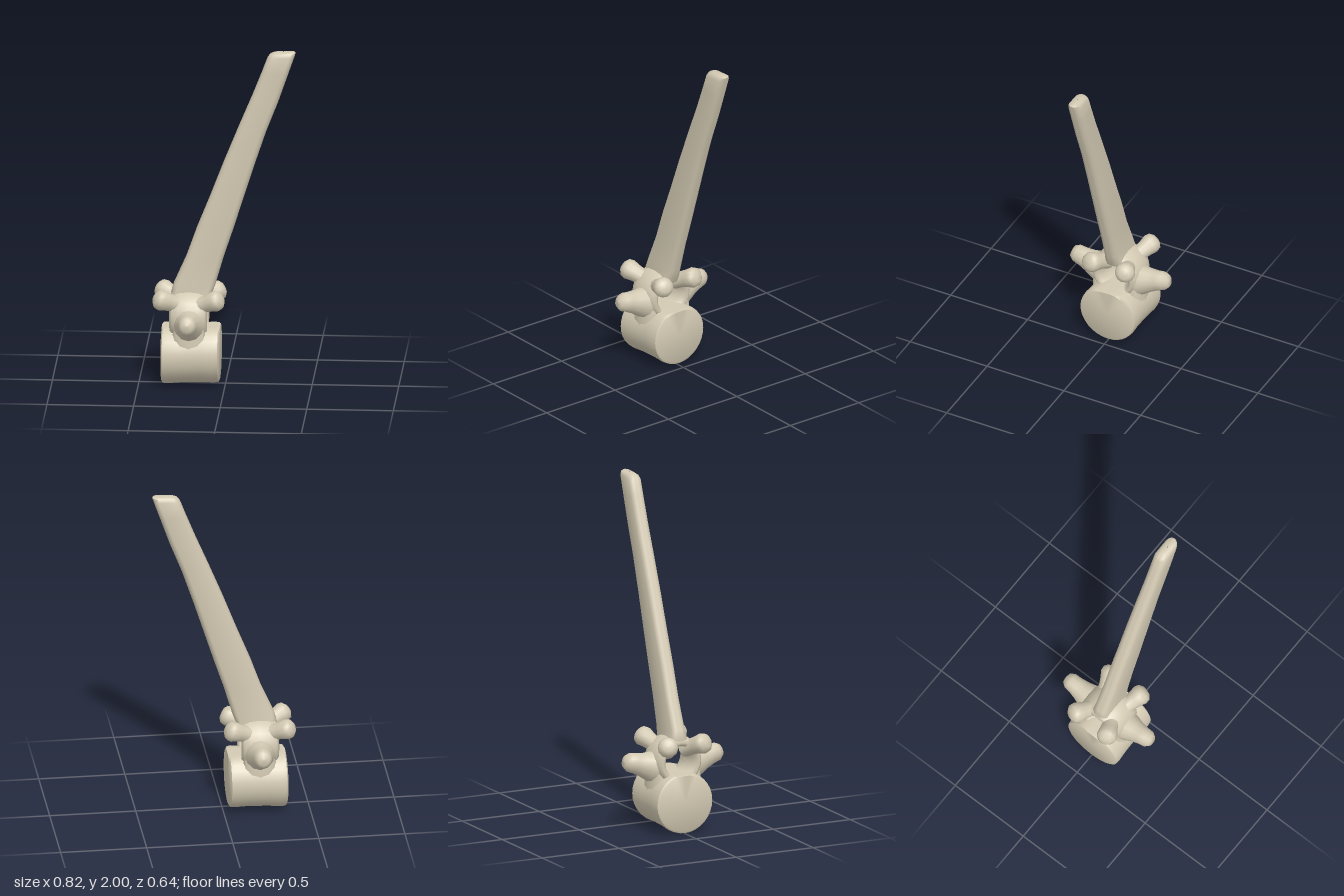
import * as THREE from 'three';
import { toCreasedNormals } from 'three/addons/utils/BufferGeometryUtils.js';

const bone = new THREE.MeshStandardMaterial({ color: 0xd3cab3 });
const V = (x, y, z) => new THREE.Vector3(x, y, z);

function add(group, name, geometry) {
  const mesh = new THREE.Mesh(geometry, bone);
  mesh.name = name;
  group.add(mesh);
  return mesh;
}

// Rounded limb from a to b; profile holds [radius, fraction of the length]
function limb(group, name, a, b, profile, scaleX = 1) {
  const dir = b.clone().sub(a);
  const len = dir.length();
  const geo = new THREE.LatheGeometry(profile.map(([r, t]) => new THREE.Vector2(r, t * len)), 12);
  geo.scale(scaleX, 1, 1);
  const mesh = add(group, name, geo);
  mesh.position.copy(a);
  mesh.quaternion.setFromUnitVectors(V(0, 1, 0), dir.normalize());
  return mesh;
}

// Drum with a slight waist, lying along x, flattened under the canal
function bodyGeometry() {
  const profile = [[0, -0.166], [0.165, -0.168], [0.178, -0.16], [0.181, -0.135], [0.176, -0.06],
    [0.175, 0.06], [0.18, 0.135], [0.176, 0.16], [0.162, 0.168], [0, 0.166]];
  const geo = new THREE.LatheGeometry(profile.map(([r, y]) => new THREE.Vector2(r, y)), 32);
  geo.rotateZ(-Math.PI / 2);
  const p = geo.attributes.position;
  for (let i = 0; i < p.count; i++) {
    const x = p.getX(i);
    p.setY(i, Math.min(p.getY(i) + 0.186 + x * 0.03, 0.345));
  }
  geo.translate(-0.199, 0, 0);
  return toCreasedNormals(geo, 0.7);
}

// Long blade: rows of [left x, left y, right x, right y, half thickness]
function bladeGeometry() {
  const rows = [
    [-0.30, 0.50, -0.10, 0.50, 0.06], [-0.315, 0.55, -0.075, 0.55, 0.05], [-0.30, 0.60, -0.06, 0.59, 0.044],
    [-0.225, 0.77, -0.008, 0.77, 0.043], [-0.165, 0.94, 0.045, 0.93, 0.043], [-0.085, 1.14, 0.105, 1.12, 0.043],
    [-0.005, 1.35, 0.165, 1.31, 0.043], [0.08, 1.56, 0.235, 1.52, 0.042], [0.155, 1.74, 0.305, 1.70, 0.041],
    [0.21, 1.88, 0.36, 1.86, 0.041], [0.242, 1.965, 0.398, 1.97, 0.04], [0.256, 1.985, 0.405, 1.993, 0.032],
    [0.275, 1.995, 0.40, 2.0, 0.02], [0.33, 1.998, 0.34, 1.999, 0.001],
  ];
  const n = 16, pos = [], idx = [];
  rows.forEach(([xl, yl, xr, yr, t], i) => {
    const hw = (xr - xl) / 2, r = Math.min(hw, 0.035);
    for (let j = 0; j < n; j++) {
      const a = (j + 0.5) / n * Math.PI * 2;
      const u = (Math.sign(Math.cos(a)) * (hw - r) + r * Math.cos(a)) / hw;
      pos.push((xl + xr) / 2 + u * hw, (yl + yr) / 2 + u * (yr - yl) / 2, t * Math.sin(a));
      if (i < rows.length - 1) {
        const k = i * n, q = (j + 1) % n;
        idx.push(k + j, k + n + j, k + q, k + q, k + n + j, k + n + q);
      }
    }
  });
  const geo = new THREE.BufferGeometry();
  geo.setAttribute('position', new THREE.Float32BufferAttribute(pos, 3));
  geo.setIndex(idx);
  return toCreasedNormals(geo, 0.8);
}

export function createModel() {
  const g = new THREE.Group();
  g.name = 'vertebra';

  add(g, 'vertebralBody', bodyGeometry());
  add(g, 'spinousProcess', bladeGeometry());

  // Arch around the canal, stretched along x
  const arch = new THREE.TorusGeometry(0.116, 0.037, 12, 28);
  arch.rotateY(Math.PI / 2);
  arch.scale(2.95, 1, 1);
  add(g, 'neuralArch', arch).position.set(-0.21, 0.412, 0);

  const knob = [[0.05, 0], [0.047, 0.3], [0.052, 0.55], [0.06, 0.75], [0.053, 0.9], [0.03, 0.99], [0, 1]];
  const wing = [[0.1, 0], [0.088, 0.22], [0.07, 0.45], [0.06, 0.65], [0.055, 0.85], [0.036, 0.97], [0, 1]];

  for (const s of [1, -1]) {
    const side = s > 0 ? 'Front' : 'Back';
    // Side wings, with a foot running down into the body
    limb(g, 'transverseProcess' + side, V(-0.205, 0.375, s * 0.105), V(-0.205, 0.432, s * 0.318), wing, 0.92);
    limb(g, 'pedicle' + side, V(-0.205, 0.22, s * 0.115), V(-0.205, 0.47, s * 0.115),
      [[0.05, 0], [0.047, 0.4], [0.04, 0.7], [0.02, 1]], 2);
    // Four joint knobs
    limb(g, 'leftArticularProcess' + side, V(-0.17, 0.475, s * 0.065), V(-0.012, 0.54, s * 0.122), knob);
    limb(g, 'rightArticularProcess' + side, V(-0.245, 0.475, s * 0.055), V(-0.402, 0.54, s * 0.13), knob);
  }
  return g;
}
